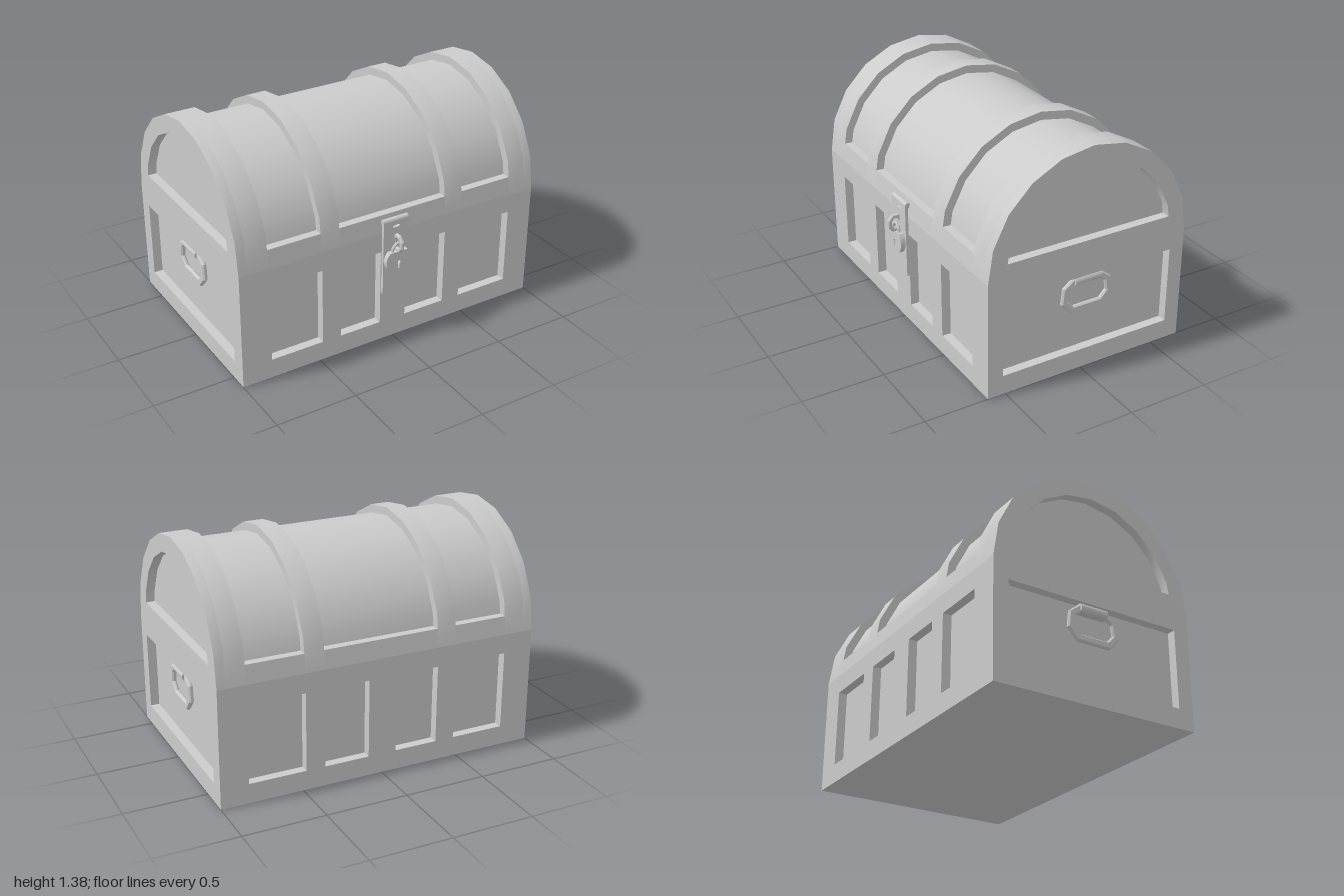
import * as THREE from 'three';
import { toCreasedNormals } from 'three/addons/utils/BufferGeometryUtils.js';

const ZC = -0.043;   // middle of the chest in z
const HALF = 0.652;  // half depth
const SPRING = 0.72; // height where the lid starts
const RISE = 0.665;
const INSET = 0.055; // depth of the sunken panels

const material = new THREE.MeshStandardMaterial({ color: 0xcccccc });

function add(parent, name, geometry) {
  const mesh = new THREE.Mesh(geometry, material);
  mesh.name = name;
  parent.add(mesh);
  return mesh;
}

const toShape = pts => new THREE.Shape(pts.map(p => new THREE.Vector2(p[0], p[1])));
const rect = (x0, x1, y0, y1) => [[x0, y0], [x1, y0], [x1, y1], [x0, y1]];

function extrude(shape, depth, options = {}) {
  const g = new THREE.ExtrudeGeometry(shape, { depth, bevelEnabled: false, curveSegments: 10, ...options });
  return toCreasedNormals(g, 0.5);
}

// Extrudes a (z, y) profile from x0 to x1
function extrudeX(shape, x0, x1, options) {
  return extrude(shape, x1 - x0, options).rotateY(-Math.PI / 2).translate(x1, 0, 0);
}

// Ten-sided half ellipse in (z, y), from front to back, cut off below yMin
function arch(rx, ry, yMin = SPRING) {
  const pts = [];
  for (let i = 0; i <= 10; i++) {
    const a = i * Math.PI / 10;
    pts.push([ZC + rx * Math.cos(a), SPRING + ry * Math.sin(a)]);
  }
  if (yMin > SPRING) {
    const t = (yMin - SPRING) / (pts[1][1] - SPRING);
    const z = (pts[0][0] + (pts[1][0] - pts[0][0]) * t) - ZC;
    pts[0] = [ZC + z, yMin];
    pts[10] = [ZC - z, yMin];
  }
  return pts;
}

function withHoles(outline, holes) {
  const shape = toShape(outline);
  for (const h of holes) shape.holes.push(new THREE.Path(h.map(p => new THREE.Vector2(p[0], p[1]))));
  return shape;
}

function buildBase() {
  const base = new THREE.Group();
  base.name = 'base';
  const inner = 2 * (1 - INSET);
  add(base, 'basePanels', new THREE.BoxGeometry(inner, SPRING, 2 * (HALF - INSET)).translate(0, SPRING / 2, ZC));

  // Front and back frames with four openings each
  const holes = [[-0.815, -0.48], [-0.36, -0.09], [0.085, 0.36], [0.48, 0.83]]
    .map(([a, b]) => rect(a, b, 0.12, 0.6));
  const frame = withHoles(rect(-1 + INSET, 1 - INSET, 0, SPRING), holes);
  add(base, 'frontFrame', extrude(frame, INSET)).position.z = ZC + HALF - INSET;
  add(base, 'backFrame', extrude(frame, INSET)).position.z = ZC - HALF;

  // End frames with one wide opening
  const end = withHoles(rect(ZC - HALF, ZC + HALF, 0, SPRING), [rect(-0.6, 0.512, 0.12, 0.6)]);
  add(base, 'leftEndFrame', extrudeX(end, 1 - INSET, 1));
  add(base, 'rightEndFrame', extrudeX(end, -1, -1 + INSET));
  return base;
}

function buildLid() {
  const lid = new THREE.Group();
  lid.name = 'lid';
  const outer = arch(HALF, RISE);
  const inner = arch(HALF - 0.05, RISE - 0.05);
  add(lid, 'lidBarrel', extrudeX(toShape(inner), -1 + INSET, 1 - INSET));

  // Raised bands across the barrel
  const bandShape = toShape([...outer, ...inner.slice().reverse()]);
  for (const [a, b] of [[-1 + INSET, -0.815], [-0.48, -0.36], [0.36, 0.48], [0.83, 1 - INSET]])
    add(lid, 'lidBand', extrudeX(bandShape, a, b));

  // Rails along the lower front and back edges of the lid
  const cut = arch(HALF, RISE, 0.83);
  for (const i of [0, 10]) {
    const s = i === 0 ? -1 : 1;
    const pts = [outer[i], cut[i], [cut[i][0] + s * 0.07, 0.83], [outer[i][0] + s * 0.07, SPRING]];
    for (const [a, b] of [[-0.815, -0.48], [-0.36, 0.36], [0.48, 0.83]])
      add(lid, i === 0 ? 'frontLidRail' : 'backLidRail', extrudeX(toShape(pts), a, b));
  }

  // Arched end frames
  const end = withHoles(outer, [arch(0.547, 0.558, 0.82)]);
  add(lid, 'leftLidEnd', extrudeX(end, 1 - INSET, 1));
  add(lid, 'rightLidEnd', extrudeX(end, -1, -1 + INSET));
  return lid;
}

// Carrying handle: a bevelled octagonal ring hanging from a rounded bracket
function buildHandle(side) {
  const handle = new THREE.Group();
  handle.name = side > 0 ? 'leftHandle' : 'rightHandle';
  const loop = half => [...half.map(([z, y]) => [ZC + z, y]), ...half.map(([z, y]) => [ZC - z, y]).reverse()];
  const ring = withHoles(
    loop([[0.105, 0.378], [0.162, 0.442], [0.152, 0.535], [0.085, 0.586]]),
    [loop([[0.092, 0.405], [0.137, 0.453], [0.127, 0.523], [0.073, 0.564]])]);
  const bevel = { bevelEnabled: true, bevelThickness: 0.009, bevelSize: 0.008, bevelSegments: 1 };
  add(handle, 'handleRing', extrudeX(ring, 0.969, 0.979, bevel));
  const bracket = new THREE.Shape();
  bracket.moveTo(-0.945, 0.545);
  bracket.lineTo(-0.974, 0.545);
  bracket.absarc(-0.974, 0.572, 0.027, -Math.PI / 2, Math.PI / 2, true);
  bracket.lineTo(-0.945, 0.599);
  const g = extrude(bracket, 0.176).translate(0, 0, -0.088).rotateY(Math.PI).translate(0, 0, ZC);
  add(handle, 'handleBracket', g);
  if (side < 0) {
    handle.rotation.y = Math.PI;
    handle.position.z = 2 * ZC;
  }
  return handle;
}

function buildLock() {
  const lock = new THREE.Group();
  lock.name = 'lock';
  const face = ZC + HALF;

  // Hasp plate with curved foot, slot and rolled top
  const plate = new THREE.Shape();
  plate.moveTo(-0.085, 0.79);
  plate.lineTo(-0.085, 0.325);
  plate.quadraticCurveTo(0, 0.275, 0.085, 0.325);
  plate.lineTo(0.085, 0.79);
  const slot = new THREE.Path();
  slot.absellipse(0, 0.757, 0.025, 0.008, 0, Math.PI * 2, true);
  plate.holes.push(slot);
  add(lock, 'haspPlate', extrude(plate, 0.018)).position.z = face;
  const roll = new THREE.CylinderGeometry(0.018, 0.018, 0.17, 12).rotateZ(Math.PI / 2);
  add(lock, 'haspRoll', roll).position.set(0, 0.79, face);

  // Octagonal staple standing out through the hasp
  const octagon = (rz, ry) => Array.from({ length: 8 }, (_, i) => {
    const a = (i + 0.5) * Math.PI / 4;
    return [0.652 + rz * Math.cos(a), 0.655 + ry * Math.sin(a)];
  });
  const bevel = { bevelEnabled: true, bevelThickness: 0.006, bevelSize: 0.005, bevelSegments: 1 };
  const staple = withHoles(octagon(0.046, 0.054), [octagon(0.031, 0.038)]);
  add(lock, 'staple', extrudeX(staple, -0.005, 0.005, bevel));

  // Padlock body with keyhole
  const body = new THREE.Shape();
  body.absarc(0, 0.545, 0.084, Math.PI * 0.75, Math.PI * 2.25, false);
  const keyhole = new THREE.Path();
  keyhole.absarc(0, 0.534, 0.012, -Math.PI * 0.3, Math.PI * 1.3, false);
  keyhole.lineTo(-0.005, 0.495);
  keyhole.lineTo(0.005, 0.495);
  body.holes.push(keyhole);
  add(lock, 'padlockBody', extrude(body, 0.03)).position.z = 0.631;
  add(lock, 'keyholeBack', new THREE.BoxGeometry(0.03, 0.06, 0.008)).position.set(0, 0.523, 0.637);

  // Shackle passing through the staple
  const shackle = new THREE.CatmullRomCurve3([[-0.034, 0.595], [-0.032, 0.625], [0, 0.652], [0.032, 0.625], [0.034, 0.595]]
    .map(([x, y]) => new THREE.Vector3(x, y, 0.646)));
  add(lock, 'shackle', new THREE.TubeGeometry(shackle, 16, 0.009, 8));
  return lock;
}

export function createModel() {
  const chest = new THREE.Group();
  chest.name = 'chest';
  chest.add(buildBase(), buildLid(), buildHandle(1), buildHandle(-1), buildLock());
  return chest;
}
